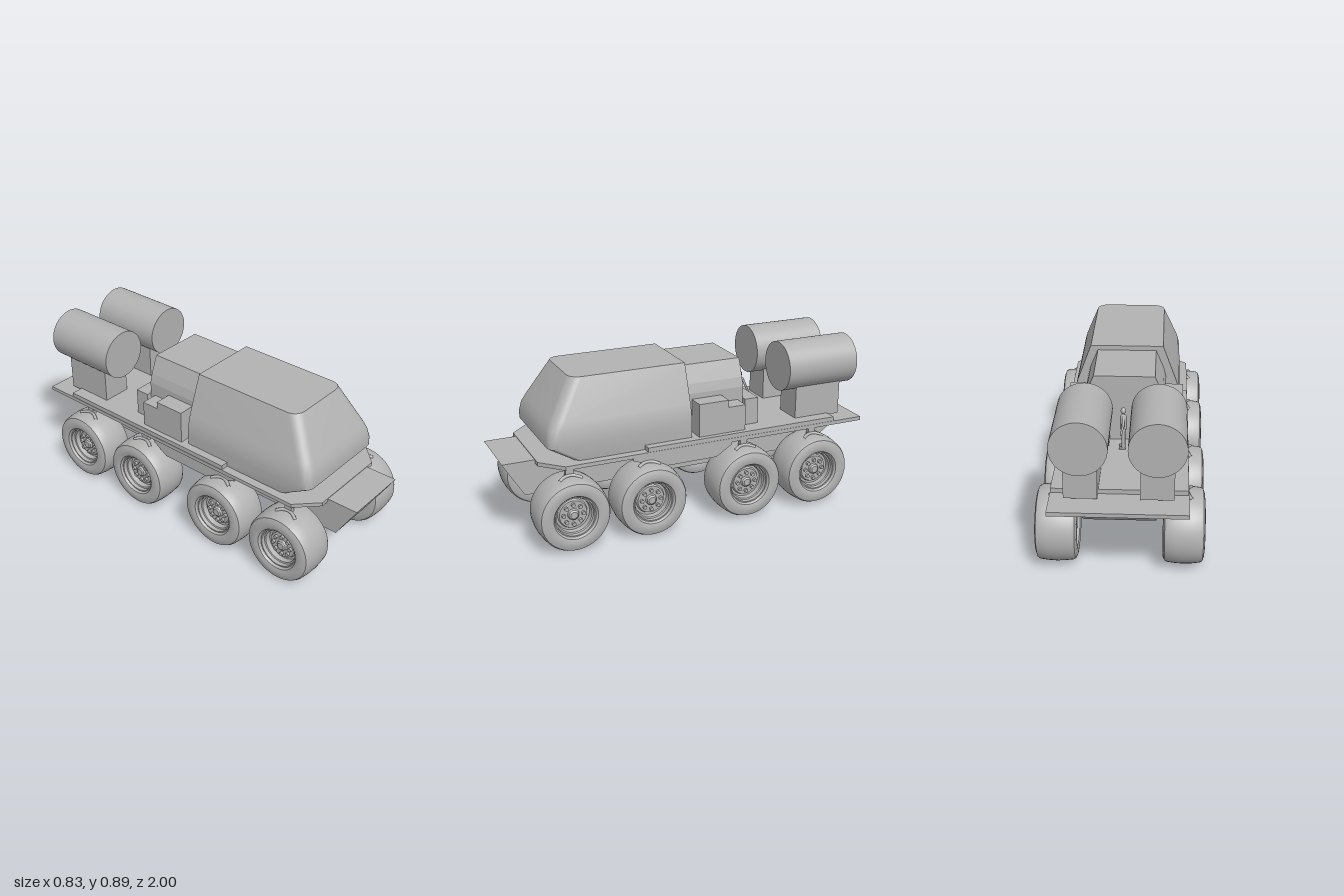
import * as THREE from 'three';
import { toCreasedNormals } from 'three/addons/utils/BufferGeometryUtils.js';

const grey = new THREE.MeshStandardMaterial({ color: 0xb2b2b2 });
grey.name = 'plain grey';

function part(parent, name, geometry, x = 0, y = 0, z = 0) {
  const mesh = new THREE.Mesh(geometry, grey);
  mesh.name = name;
  mesh.position.set(x, y, z);
  parent.add(mesh);
  return mesh;
}

// Box given by its limits on each axis
function block(parent, name, [x0, x1], [y0, y1], [z0, z1]) {
  return part(parent, name, new THREE.BoxGeometry(x1 - x0, y1 - y0, z1 - z0),
    (x0 + x1) / 2, (y0 + y1) / 2, (z0 + z1) / 2);
}

function outline(points) {
  return new THREE.Shape(points.map(([a, b]) => new THREE.Vector2(a, b)));
}

// Side profile of [z, y] points, extruded across x and centred
function acrossX(points, width) {
  return new THREE.ExtrudeGeometry(outline(points), { depth: width, bevelEnabled: false })
    .translate(0, 0, -width / 2).rotateY(-Math.PI / 2);
}

// Solid skin over a stack of closed rings, with flat end caps
function loft(rings, crease) {
  const pos = [];
  const tri = (...corners) => corners.forEach((p) => pos.push(...p));
  const n = rings[0].length;
  for (let k = 0; k < rings.length - 1; k++) {
    for (let i = 0; i < n; i++) {
      const j = (i + 1) % n;
      const a = rings[k][i], b = rings[k][j], c = rings[k + 1][j], d = rings[k + 1][i];
      tri(a, b, c);
      tri(a, c, d);
    }
  }
  const low = rings[0], high = rings[rings.length - 1];
  for (let i = 1; i < n - 1; i++) {
    tri(low[0], low[i + 1], low[i]);
    tri(high[0], high[i], high[i + 1]);
  }
  const g = new THREE.BufferGeometry();
  g.setAttribute('position', new THREE.Float32BufferAttribute(pos, 3));
  g.computeVertexNormals();
  return toCreasedNormals(g, crease);
}

// Horizontal cab section: square at the back, rounded front corners
function cabRing([y, half, front, r]) {
  const ring = [[-half, y, 0.015]];
  for (const side of [-1, 1]) {
    for (let i = 0; i <= 8; i++) {
      const a = (i / 8) * Math.PI / 2;
      const t = side < 0 ? a : Math.PI / 2 - a;
      ring.push([side * (half - r + r * Math.cos(t)), y, front - r + r * Math.sin(t)]);
    }
  }
  ring.push([half, y, 0.015]);
  return ring;
}

// Wheel with its outer face towards +x
function makeWheel() {
  const wheel = new THREE.Group();
  const profile = (pts) => pts.map(([r, y]) => new THREE.Vector2(r, y));
  const turned = (pts) =>
    toCreasedNormals(new THREE.LatheGeometry(profile(pts), 48).rotateZ(-Math.PI / 2), 0.5);
  part(wheel, 'tyre', turned([
    [0.108, -0.085], [0.116, -0.097], [0.135, -0.103], [0.16, -0.1], [0.178, -0.093],
    [0.185, -0.08], [0.19, -0.04], [0.192, 0], [0.19, 0.04], [0.185, 0.08],
    [0.178, 0.093], [0.16, 0.1], [0.135, 0.103], [0.116, 0.097], [0.108, 0.085],
  ]));
  part(wheel, 'rim', turned([
    [0, -0.06], [0.085, -0.06], [0.095, -0.065], [0.1, -0.085], [0.108, -0.085],
  ]));
  part(wheel, 'rimDish', turned([
    [0.108, 0.085], [0.102, 0.085], [0.1, 0.065], [0.093, 0.062], [0.09, 0.035], [0.078, 0.035],
    [0.072, 0.048], [0.03, 0.048], [0.026, 0.06], [0.018, 0.066], [0, 0.066],
  ]));
  for (let i = 0; i < 8; i++) {
    const a = (i / 8) * Math.PI * 2;
    const lug = part(wheel, 'wheelLug', new THREE.CylinderGeometry(0.01, 0.01, 0.02, 12),
      0.052, 0.052 * Math.cos(a), 0.052 * Math.sin(a));
    lug.rotation.z = Math.PI / 2;
  }
  return wheel;
}

// Small standing person with arms held away from the body
function makePerson() {
  const person = new THREE.Group();
  const limb = (name, from, to, r) => {
    const a = new THREE.Vector3(...from), b = new THREE.Vector3(...to);
    const mid = a.clone().add(b).multiplyScalar(0.5);
    const m = part(person, name, new THREE.CapsuleGeometry(r, a.distanceTo(b), 4, 8), mid.x, mid.y, mid.z);
    m.quaternion.setFromUnitVectors(new THREE.Vector3(0, 1, 0), b.sub(a).normalize());
  };
  part(person, 'head', new THREE.SphereGeometry(0.014, 12, 10), 0, 0.208, 0).scale.y = 1.2;
  limb('torso', [0, 0.115, 0], [0, 0.17, 0], 0.018);
  for (const s of [-1, 1]) {
    limb('upperArm', [0, 0.178, s * 0.018], [0, 0.14, s * 0.036], 0.007);
    limb('forearm', [0, 0.14, s * 0.036], [0.01, 0.1, s * 0.05], 0.006);
    limb('leg', [0, 0.11, s * 0.01], [0, 0.012, s * 0.016], 0.01);
    block(person, 'foot', [-0.01, 0.022], [0, 0.01], [s * 0.016 - 0.007, s * 0.016 + 0.007]);
  }
  return person;
}

export function createModel() {
  const model = new THREE.Group();
  model.name = 'eightWheeledRover';

  // Hull with sloped nose and tail
  part(model, 'hull', acrossX([
    [1, 0.443], [0.89, 0.26], [-0.76, 0.26], [-0.935, 0.385], [-0.935, 0.43], [0.8, 0.43], [0.8, 0.443],
  ], 0.35));

  // Deck plates: chamfered lower plate and shorter raised plate
  const deck = outline([
    [-0.33, 1], [0.33, 1], [0.33, -0.72], [0.22, -0.83], [-0.22, -0.83], [-0.33, -0.72],
  ]);
  part(model, 'deck', new THREE.ExtrudeGeometry(deck, { depth: 0.021, bevelEnabled: false })
    .rotateX(-Math.PI / 2), 0, 0.425, 0);
  block(model, 'raisedDeck', [-0.328, 0.328], [0.446, 0.47], [-0.825, 0.28]);

  // Dropped side sills between the wheel pairs
  part(model, 'sideSills', acrossX([
    [0.36, 0.426], [0.36, 0.41], [0.2, 0.354], [-0.11, 0.354], [-0.2, 0.41], [-0.2, 0.426],
  ], 0.65));

  // Cab: [height, half width, front, corner radius]
  part(model, 'cab', loft([
    [0.445, 0.285, 0.66, 0.05], [0.52, 0.285, 0.785, 0.05], [0.56, 0.285, 0.785, 0.05],
    [0.61, 0.277, 0.775, 0.055], [0.65, 0.266, 0.755, 0.06], [0.85, 0.192, 0.635, 0.06],
  ].map(cabRing), 0.6));

  // Rear cabin with sloped shoulders
  const cabin = outline([
    [-0.208, 0.46], [0.208, 0.46], [0.208, 0.68], [0.195, 0.73], [0.155, 0.825],
    [-0.155, 0.825], [-0.195, 0.73], [-0.208, 0.68],
  ]);
  part(model, 'rearCabin', new THREE.ExtrudeGeometry(cabin, { depth: 0.335, bevelEnabled: false }), 0, 0, -0.32);

  const person = makePerson();
  person.name = 'person';
  person.position.set(0, 0.47, -0.41);
  model.add(person);

  for (const s of [-1, 1]) {
    const span = (a, b) => (s > 0 ? [a, b] : [-b, -a]);

    // Storage boxes beside and behind the rear cabin
    block(model, 'tallLocker', span(0.205, 0.3), [0.46, 0.65], [-0.19, -0.02]);
    block(model, 'shortLocker', span(0.205, 0.3), [0.46, 0.61], [-0.29, -0.19]);
    block(model, 'rearLocker', span(0.075, 0.235), [0.46, 0.615], [-0.4, -0.321]);

    // Tanks on pedestals
    block(model, 'tankStand', span(0.1, 0.26), [0.46, 0.66], [-0.895, -0.62]);
    part(model, 'tank', new THREE.CylinderGeometry(0.135, 0.135, 0.42, 64).rotateX(Math.PI / 2),
      s * 0.18, 0.756, -0.755);

    // Wheels and the brackets above them
    for (const z of [0.7, 0.28, -0.27, -0.69]) {
      const wheel = makeWheel();
      wheel.name = 'wheel';
      wheel.position.set(s * 0.31, 0.198, z);
      wheel.rotation.y = s > 0 ? 0 : Math.PI;
      model.add(wheel);

      block(model, 'wheelBracket', span(0.3, 0.325), [0.38, 0.428], [z - 0.02, z + 0.02]);
      const arch = new THREE.QuadraticBezierCurve3(
        new THREE.Vector3(s * 0.345, 0.378, z - 0.06),
        new THREE.Vector3(s * 0.3, 0.41, z),
        new THREE.Vector3(s * 0.345, 0.378, z + 0.06));
      part(model, 'bracketArm', new THREE.TubeGeometry(arch, 12, 0.009, 8));
    }
  }
  return model;
}
